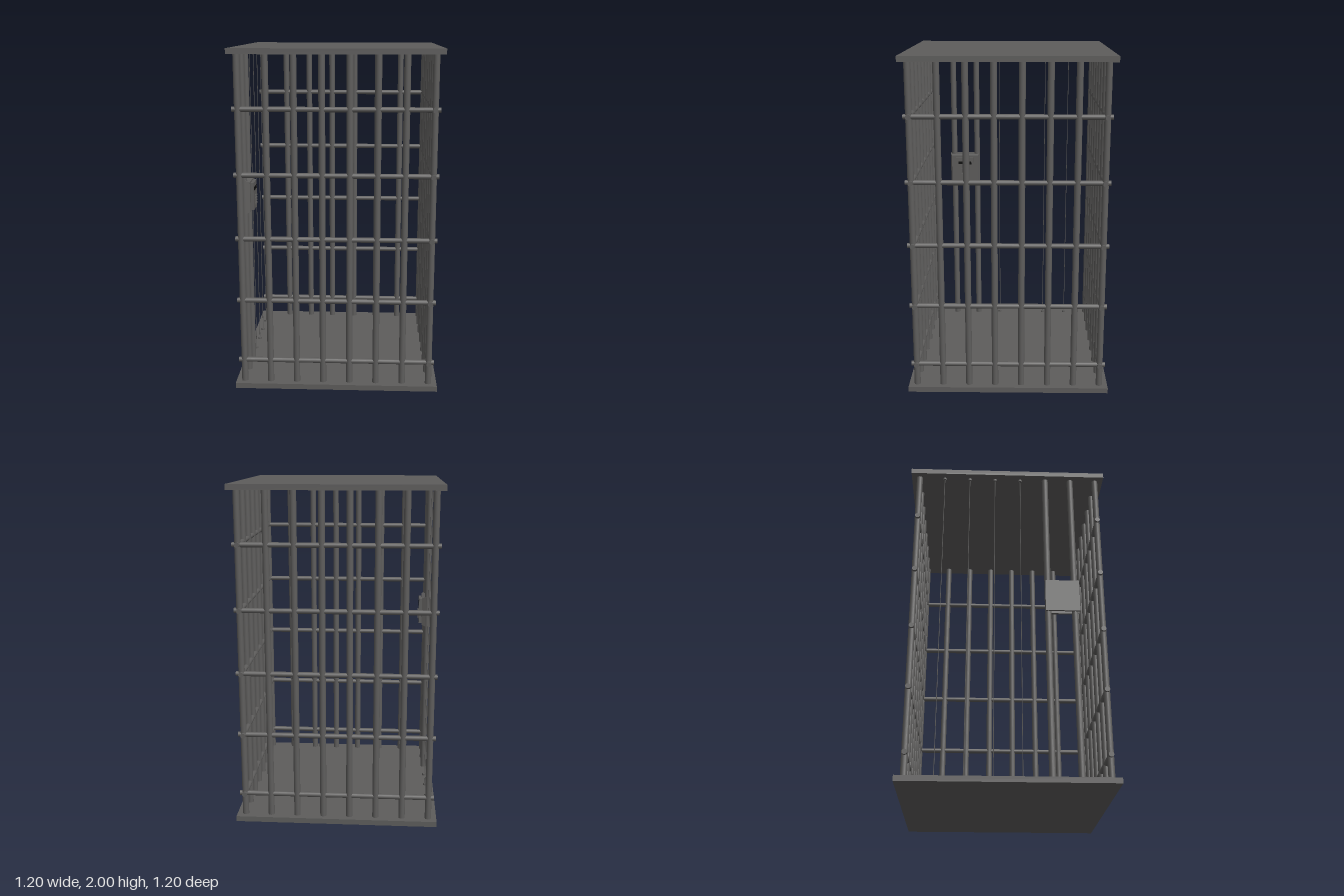
import * as THREE from 'three';

export function createModel() {
  const cage = new THREE.Group();
  cage.name = 'cage';
  const steel = new THREE.MeshStandardMaterial({ color: 0x5e5d5c });
  const black = new THREE.MeshStandardMaterial({ color: 0x0c0c0c });
  const add = (parent, name, geo, x, y, z, mat = steel) => {
    const m = new THREE.Mesh(geo, mat);
    m.name = name;
    m.position.set(x, y, z);
    parent.add(m);
    return m;
  };

  const W = 1.2, T = 0.032, E = 0.55, H = 2 - 2 * T;
  const step = (2 * E) / 7;

  // Floor and roof plates
  add(cage, 'floor', new THREE.BoxGeometry(W, T, W), 0, T / 2, 0);
  add(cage, 'roof', new THREE.BoxGeometry(W, T, W), 0, 2 - T / 2, 0);

  // Upright bars; part of the -x side is closed by thin wires instead
  const bar = new THREE.CylinderGeometry(0.019, 0.019, H, 16);
  const wire = new THREE.CylinderGeometry(0.002, 0.002, H, 6);
  const stub = new THREE.CylinderGeometry(0.012, 0.012, 0.012, 12);
  for (let i = 0; i < 8; i++) {
    const p = -E + i * step;
    add(cage, 'frontBar', bar, p, 1, E);
    add(cage, 'backBar', bar, p, 1, -E);
    if (i === 0 || i === 7) continue;
    add(cage, 'sideBar', bar, E, 1, p);
    if (i > 4) {
      add(cage, 'gateBar', bar, -E, 1, p);
    } else {
      add(cage, 'gateWire', wire, -E, 1, p);
      add(cage, 'wireSocket', stub, -E, T + 0.006, p);
      add(cage, 'wireSocket', stub, -E, 2 - T - 0.006, p);
    }
  }

  // Horizontal rails on the front, back and +x sides
  const rail = new THREE.CylinderGeometry(0.015, 0.015, 1.165, 16);
  for (let i = 0; i < 5; i++) {
    const y = 0.165 + i * 0.375;
    add(cage, 'frontRail', rail, 0, y, E).rotation.z = Math.PI / 2;
    add(cage, 'backRail', rail, 0, y, -E).rotation.z = Math.PI / 2;
    add(cage, 'sideRail', rail, E, y, 0).rotation.x = Math.PI / 2;
  }

  // Keypad lock clamped on two gate bars; local +z points into the cage
  const lock = new THREE.Group();
  lock.name = 'keypadLock';
  lock.position.set(-E, 1.13, 0.32);
  lock.rotation.y = Math.PI / 2;
  cage.add(lock);
  add(lock, 'outerPlate', new THREE.BoxGeometry(0.2, 0.2, 0.012), 0, 0, -0.022);

  // Housing with sloped edges
  const housing = new THREE.BoxGeometry(0.2, 0.2, 0.026).toNonIndexed();
  const pos = housing.attributes.position;
  for (let i = 0; i < pos.count; i++) {
    if (pos.getZ(i) > 0) pos.setXY(i, pos.getX(i) * 0.9, pos.getY(i) * 0.9);
  }
  housing.computeVertexNormals();
  add(lock, 'housing', housing, 0, 0, 0.023);
  add(lock, 'panel', new THREE.BoxGeometry(0.125, 0.165, 0.018), 0, -0.002, 0.045);
  add(lock, 'screen', new THREE.BoxGeometry(0.09, 0.02, 0.003), 0, 0.042, 0.055, black);

  // Keys
  const key = new THREE.BoxGeometry(0.011, 0.009, 0.008);
  for (let r = 0; r < 4; r++) {
    for (let c = 0; c < 3; c++) {
      add(lock, 'key', key, (c - 1) * 0.018, -0.005 - r * 0.016, 0.058);
    }
  }
  return cage;
}
